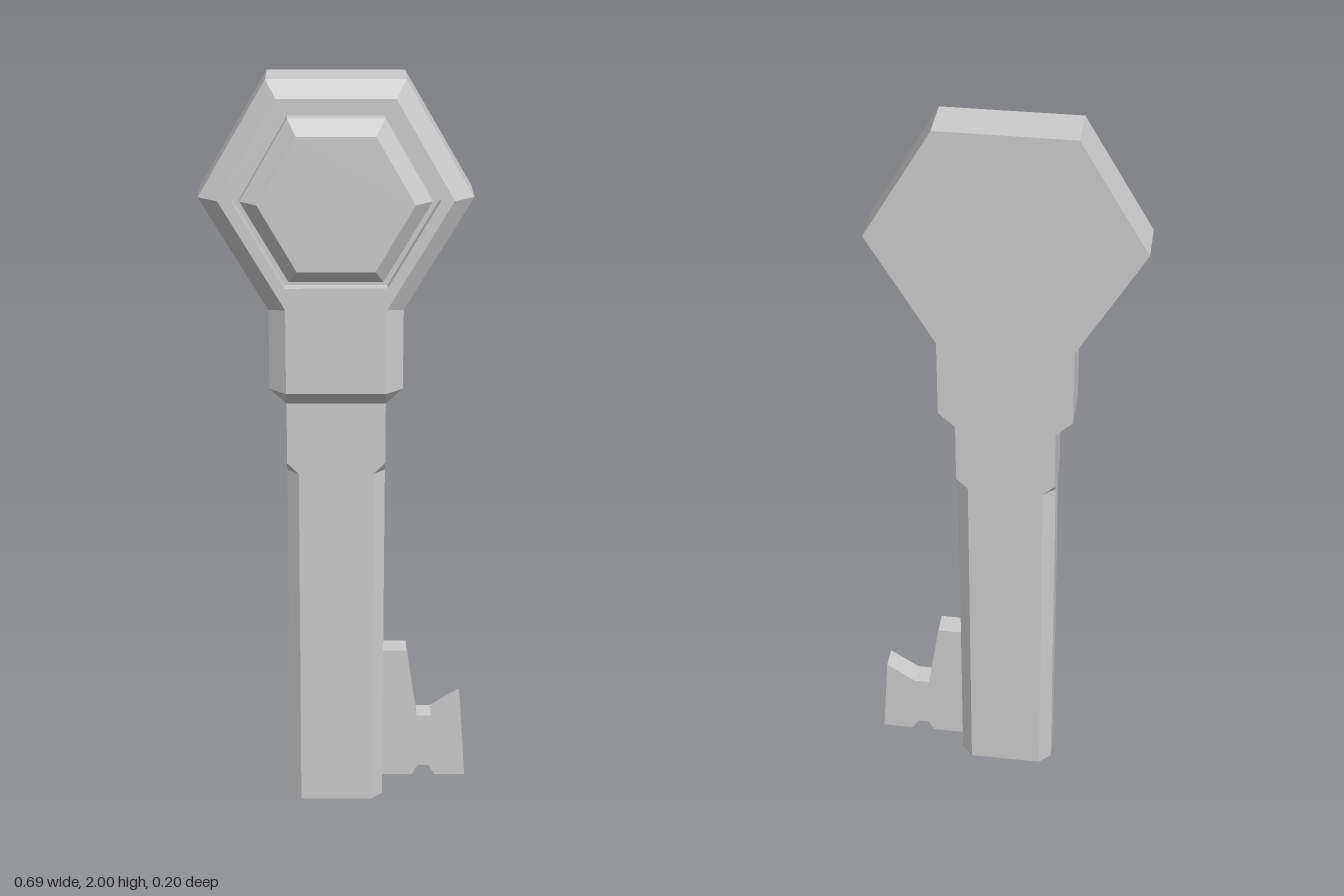
import * as THREE from 'three';
import { mergeGeometries } from 'three/addons/utils/BufferGeometryUtils.js';

const material = new THREE.MeshStandardMaterial({ color: 0xcccccc, flatShading: true });

// Right half of an outline (bottom to top) mirrored to a full counter-clockwise ring
const mirrored = half => [...half, ...half.map(([x, y]) => [-x, y]).reverse()];

// Hexagon with points on the left and right
const hexagon = (rx, ry, cy) =>
  [[1, 0], [0.5, 1], [-0.5, 1], [-1, 0], [-0.5, -1], [0.5, -1]].map(([x, y]) => [x * rx, cy + y * ry]);

// Strip of faces between two rings with the same number of corners
function band(a, za, b, zb) {
  const pos = [];
  a.forEach((p, i) => {
    const j = (i + 1) % a.length;
    const A = [...p, za], B = [...a[j], za], C = [...b[j], zb], D = [...b[i], zb];
    pos.push(...A, ...B, ...C, ...A, ...C, ...D);
  });
  const geo = new THREE.BufferGeometry();
  geo.setAttribute('position', new THREE.Float32BufferAttribute(pos, 3));
  return geo;
}

// Flat face, optionally with a hole or facing backwards
function cap(ring, z, { hole, back = false } = {}) {
  const points = r => r.map(([x, y]) => new THREE.Vector2(back ? -x : x, y));
  const shape = new THREE.Shape(points(ring));
  if (hole) shape.holes.push(new THREE.Path(points(hole)));
  const geo = new THREE.ShapeGeometry(shape).toNonIndexed();
  if (back) geo.rotateY(Math.PI);
  geo.translate(0, 0, z);
  geo.deleteAttribute('uv');
  geo.deleteAttribute('normal');
  return geo;
}

function mesh(name, parts) {
  const geo = mergeGeometries(parts);
  geo.computeVertexNormals();
  const m = new THREE.Mesh(geo, material);
  m.name = name;
  return m;
}

export function createModel() {
  const key = new THREE.Group();
  key.name = 'key';
  const body = new THREE.Group();
  body.name = 'keyBody';
  body.position.x = -0.01;
  key.add(body);

  // Hexagonal head and collar with a bevelled front and a shallow recess
  const outer = mirrored([[0.127, 1.17], [0.17, 1.21], [0.17, 1.42], [0.34, 1.71], [0.17, 2]]);
  const inset = mirrored([[0.127, 1.21], [0.127, 1.21], [0.127, 1.432], [0.29, 1.71], [0.145, 1.96]]);
  const recess = hexagon(0.256, 0.222, 1.71);
  body.add(mesh('head', [
    cap(outer, -0.1, { back: true }),
    band(outer, -0.1, outer, 0.02),
    band(outer, 0.02, inset, 0.06),
    cap(inset, 0.06, { hole: recess }),
    band(recess, 0.06, recess, 0.03),
    cap(recess, 0.03),
  ]));

  // Raised bevelled hexagon inside the recess
  const bossBase = hexagon(0.236, 0.204, 1.71);
  const bossTop = hexagon(0.193, 0.168, 1.71);
  body.add(mesh('headBoss', [
    band(bossBase, 0.03, bossBase, 0.062),
    band(bossBase, 0.062, bossTop, 0.1),
    cap(bossTop, 0.1),
  ]));

  // Shaft: square at the top, chamfered edges below, ending in pointed stops
  const section = c => {
    const w = 0.127, d = 0.06;
    return [[w, d - c], [w - c, d], [c - w, d], [-w, d - c], [-w, c - d], [c - w, -d], [w - c, -d], [w, c - d]]
      .map(([x, y]) => [x, y + 0.04]);
  };
  const square = section(0), chamfered = section(0.03);
  const shaft = mesh('shaft', [
    cap(chamfered, 0, { back: true }),
    band(chamfered, 0, chamfered, 0.975),
    band(chamfered, 0.975, square, 1.005),
    band(square, 1.005, square, 1.18),
  ]);
  shaft.rotation.x = -Math.PI / 2;
  body.add(shaft);

  // Notched bit at the foot of the shaft
  const bit = [
    [0.1, 0.06], [0.2, 0.06], [0.215, 0.088], [0.245, 0.088], [0.262, 0.06], [0.345, 0.06],
    [0.328, 0.297], [0.25, 0.245], [0.21, 0.245], [0.18, 0.445], [0.1, 0.445],
  ];
  key.add(mesh('bit', [
    cap(bit, -0.07, { back: true }),
    band(bit, -0.07, bit, -0.01),
    cap(bit, -0.01),
  ]));

  return key;
}
